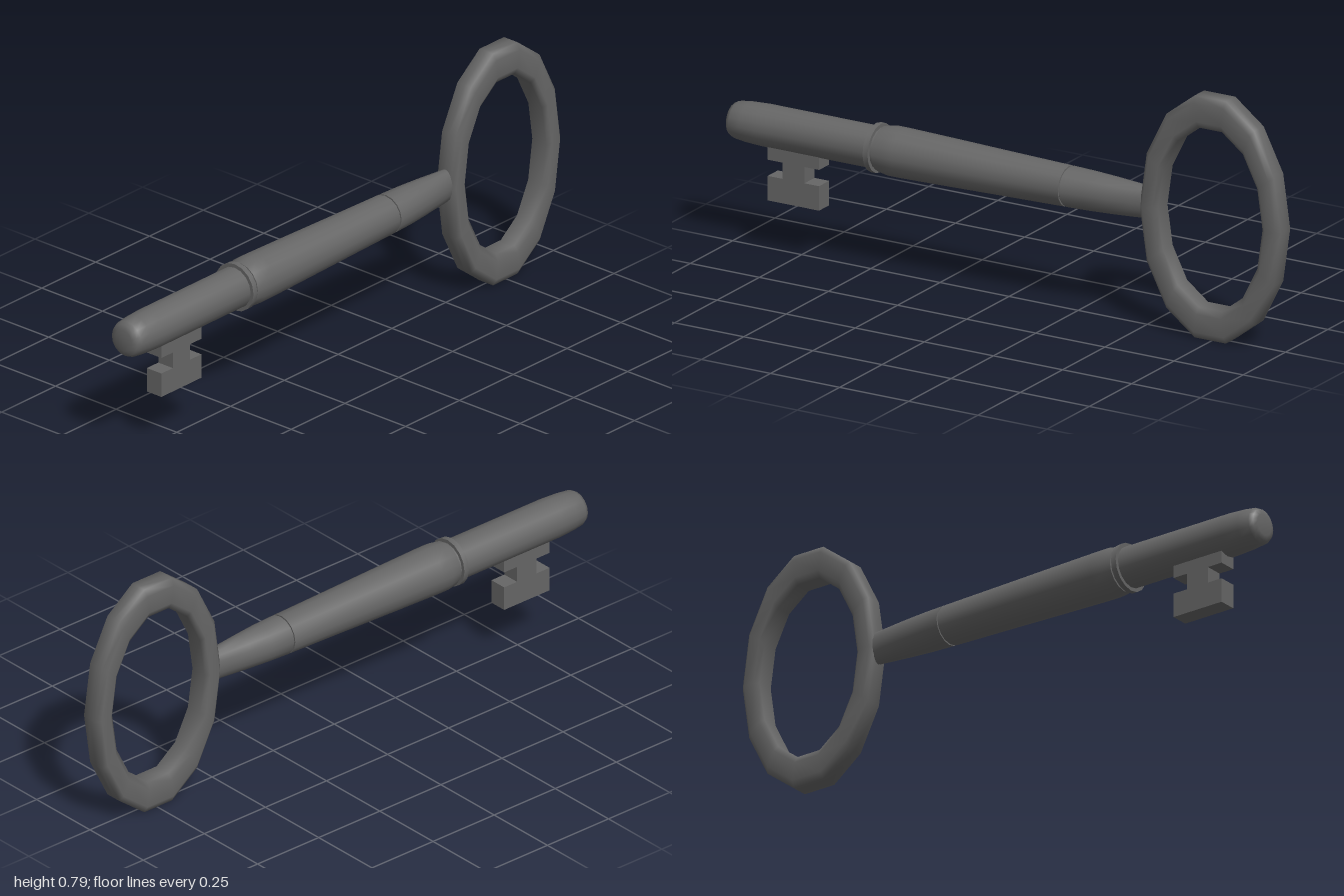
import * as THREE from 'three';
import { toCreasedNormals } from 'three/addons/utils/BufferGeometryUtils.js';

const AXIS_Y = 0.4;
const SIDES = 16;

export function createModel() {
  const key = new THREE.Group();
  key.name = 'key';
  const iron = new THREE.MeshStandardMaterial({ color: 0x666666 });
  iron.name = 'dark iron';

  const add = (name, geometry, x, y, z) => {
    const mesh = new THREE.Mesh(geometry, iron);
    mesh.name = name;
    mesh.position.set(x, y, z);
    key.add(mesh);
    return mesh;
  };

  // Turned part along z, from [radius, z] pairs with z increasing
  const turned = (name, profile, crease = 0.9) => {
    const points = profile.map(([r, z]) => new THREE.Vector2(r, z));
    const geometry = new THREE.LatheGeometry(points, SIDES).rotateX(Math.PI / 2);
    return add(name, toCreasedNormals(geometry, crease), 0, AXIS_Y, 0);
  };

  // Front shaft with a rounded tip
  turned('frontShaft', [
    [0, 0.44], [0.067, 0.44], [0.067, 0.88], [0.064, 0.94],
    [0.059, 0.98], [0.052, 0.993], [0.035, 0.998], [0, 1],
  ], 1.2);

  // Thin raised collar
  turned('collar', [[0, 0.464], [0.079, 0.464], [0.079, 0.482], [0, 0.482]]);

  // Tapered barrel, fullest near the collar
  turned('barrel', [
    [0, -0.216], [0.065, -0.216], [0.07, 0], [0.075, 0.2],
    [0.079, 0.38], [0.079, 0.42], [0.073, 0.455], [0, 0.46],
  ]);

  // Narrow groove between barrel and neck
  turned('groove', [[0, -0.25], [0.06, -0.25], [0.06, -0.2], [0, -0.2]]);

  // Neck, flattened sideways where it meets the ring
  const neck = new THREE.LatheGeometry([
    [0, -0.53], [0.052, -0.53], [0.056, -0.46], [0.06, -0.38],
    [0.063, -0.3], [0.065, -0.222], [0, -0.222],
  ].map(([r, z]) => new THREE.Vector2(r, z)), SIDES).rotateX(Math.PI / 2);
  const p = neck.attributes.position;
  for (let i = 0; i < p.count; i++) {
    const t = THREE.MathUtils.clamp((-0.25 - p.getZ(i)) / 0.28, 0, 1);
    p.setX(i, p.getX(i) * (1 - 0.5 * Math.pow(t, 1.6)));
  }
  add('neck', toCreasedNormals(neck, 0.9), 0, AXIS_Y, 0);

  // Oval ring handle: bevelled section swept in fourteen segments
  const section = [
    [0.255, 0], [0.255, 0.028], [0.241, 0.04], [0.203, 0.04], [0.189, 0.028],
    [0.189, -0.028], [0.203, -0.04], [0.241, -0.04], [0.255, -0.028], [0.255, 0],
  ].map(([r, x]) => new THREE.Vector2(r, x));
  const ring = new THREE.LatheGeometry(section, 14).rotateZ(Math.PI / 2);
  ring.scale(1, 1.589, 1);
  add('ringHandle', ring, 0, 0.395, -0.745);

  // Notched bit below the front shaft, drawn in z and y
  const half = [[0.093, 0.167], [0.093, 0.247], [0.04, 0.247], [0.04, 0.3], [0.093, 0.3], [0.093, 0.36]];
  const outline = [...half, ...half.slice().reverse().map(([z, y]) => [-z, y])];
  const bit = new THREE.ExtrudeGeometry(
    new THREE.Shape(outline.map(([z, y]) => new THREE.Vector2(z, y))),
    { depth: 0.06, bevelEnabled: false },
  );
  bit.translate(0, 0, -0.03).rotateY(-Math.PI / 2);
  add('bit', bit, 0, 0, 0.762);

  return key;
}
